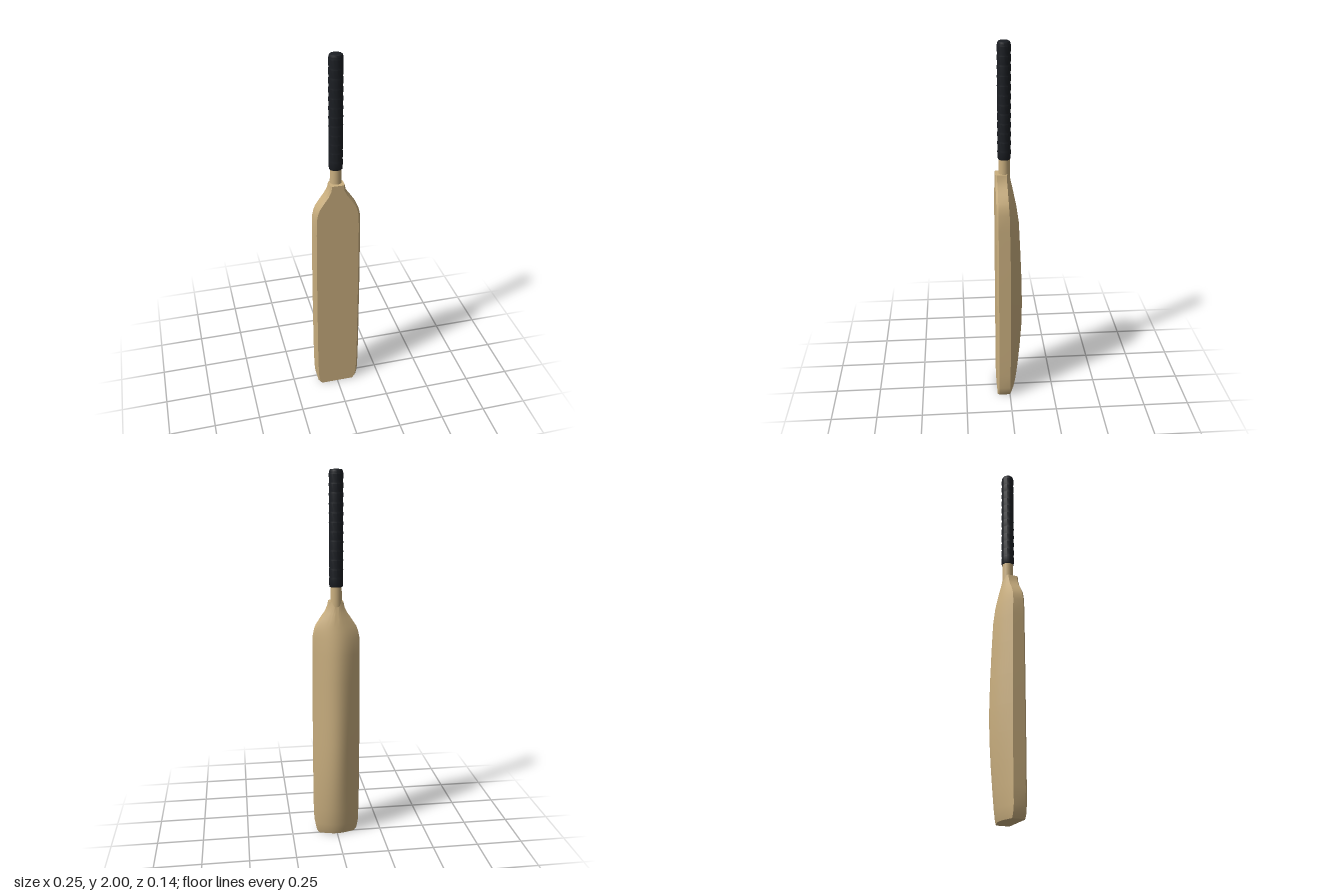
import * as THREE from 'three';
import { toCreasedNormals } from 'three/addons/utils/BufferGeometryUtils.js';

const wood = new THREE.MeshStandardMaterial({ color: 0xcbb080 });
const rubber = new THREE.MeshStandardMaterial({ color: 0x1b1e23 });
const FRONT = 0.071, HANDLE_Z = 0.024;

// Blade stations: height, half width, z of the side edge, z of the spine
const stations = [
  [0, 0.1, 0, -0.025], [0.02, 0.113, 0, -0.031], [0.06, 0.121, 0, -0.039],
  [0.15, 0.124, -0.001, -0.05], [0.28, 0.125, -0.003, -0.062], [0.42, 0.125, -0.004, -0.071],
  [0.56, 0.125, -0.004, -0.073], [0.72, 0.125, -0.003, -0.069], [0.9, 0.124, -0.001, -0.061],
  [1.05, 0.123, 0.002, -0.053], [1.14, 0.121, 0.004, -0.04], [1.175, 0.114, 0.006, -0.033],
  [1.2, 0.105, 0.007, -0.028], [1.24, 0.079, 0.009, -0.02], [1.27, 0.058, 0.01, -0.013],
  [1.3, 0.043, 0.012, -0.007], [1.33, 0.037, 0.013, -0.002],
];

// One closed outline: flat face, bevelled corners, straight sides, domed back
function section([y, w, edge, spine]) {
  const bevel = Math.min(0.01, w * 0.2);
  const ring = [
    [-w + bevel, FRONT], [w - bevel, FRONT], [w, FRONT - bevel],
  ];
  const n = 20;
  for (let i = 0; i <= n; i++) {
    const t = 1 - (2 * i) / n;
    const dome = 0.75 * (1 - t * t) + 0.125 * (1 + Math.cos(Math.PI * t));
    ring.push([w * t, edge + (spine - edge) * dome]);
  }
  ring.push([-w, FRONT - bevel]);
  return ring.map(([x, z]) => [x, y, z]);
}

// Skin a stack of outlines and close both ends
function loft(rings) {
  const n = rings[0].length, pos = rings.flat(2), index = [];
  for (let i = 0; i < rings.length - 1; i++) {
    for (let j = 0; j < n; j++) {
      const a = i * n + j, b = i * n + (j + 1) % n;
      index.push(a, b, b + n, a, b + n, a + n);
    }
  }
  [0, rings.length - 1].forEach((r, top) => {
    const y = rings[r][0][1], c = pos.length / 3;
    pos.push(0, y, 0.03);
    for (let j = 0; j < n; j++) {
      const a = r * n + j, b = r * n + (j + 1) % n;
      index.push(c, top ? a : b, top ? b : a);
    }
  });
  const g = new THREE.BufferGeometry();
  g.setAttribute('position', new THREE.Float32BufferAttribute(pos, 3));
  g.setIndex(index);
  return toCreasedNormals(g, 0.6);
}

export function createModel() {
  const group = new THREE.Group();
  const add = (name, geometry, material) => {
    const mesh = new THREE.Mesh(geometry, material);
    mesh.name = name;
    group.add(mesh);
    return mesh;
  };

  add('blade', loft(stations.map(section)), wood);

  // Wooden handle running down into the shoulder of the blade
  const handle = add('handle', new THREE.CylinderGeometry(0.029, 0.031, 0.22, 24), wood);
  handle.position.set(0, 1.35, HANDLE_Z);

  // Ribbed grip with rounded top
  const profile = [[0, 1.408], [0.034, 1.408]];
  const ribs = 12, y0 = 1.412, step = 0.575 / ribs;
  for (let i = 0; i < ribs; i++) {
    const y = y0 + i * step;
    profile.push([0.0355, y], [0.0375, y + step * 0.8], [0.0355, y + step * 0.95]);
  }
  profile.push([0.0355, 1.988], [0.032, 1.997], [0.027, 2], [0, 2]);
  const gripGeometry = new THREE.LatheGeometry(profile.map(([r, y]) => new THREE.Vector2(r, y)), 12);
  const grip = add('grip', toCreasedNormals(gripGeometry, 0.6), rubber);
  grip.scale.z = 0.93;
  grip.position.z = HANDLE_Z;

  return group;
}
